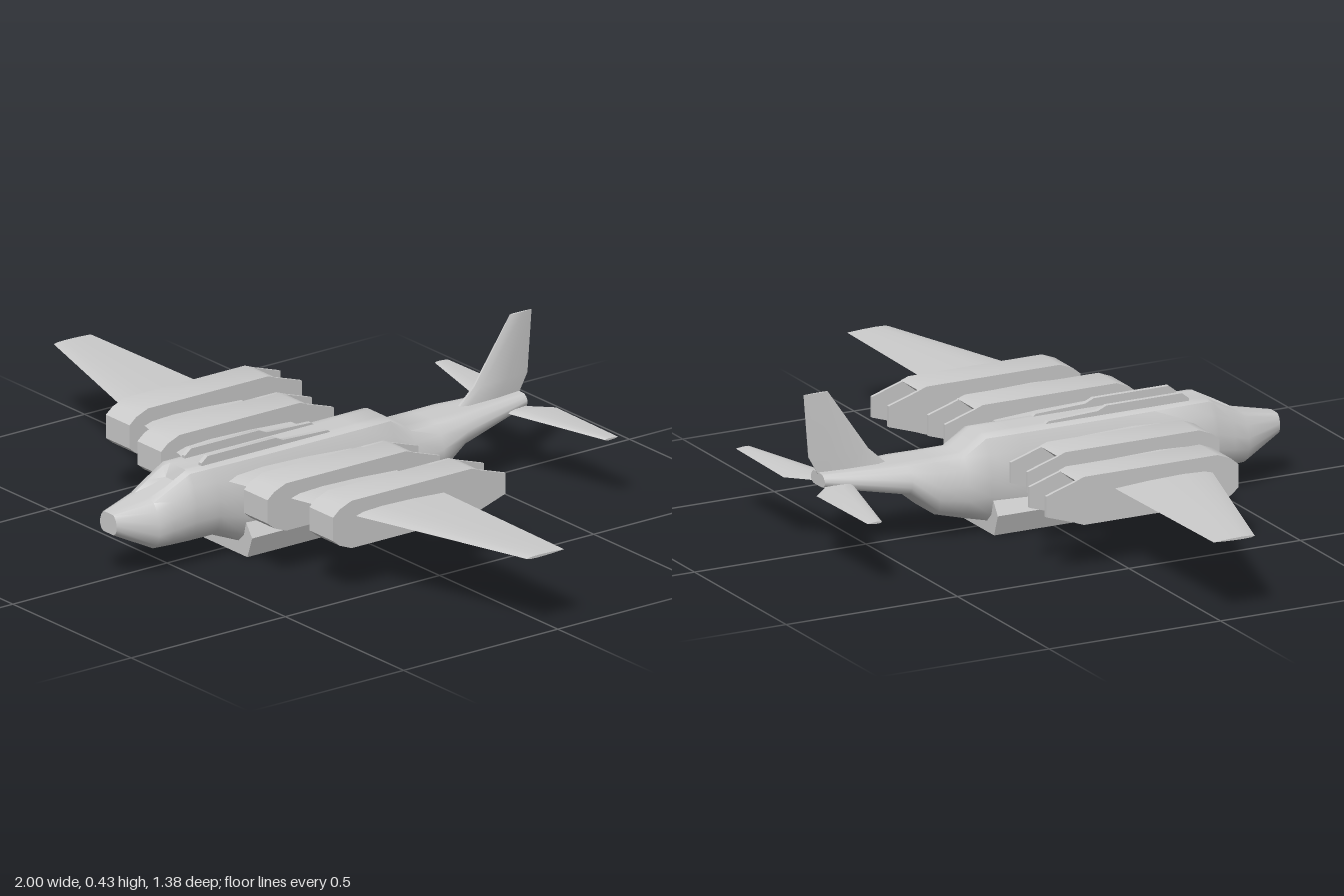
import * as THREE from 'three';
import { toCreasedNormals } from 'three/addons/utils/BufferGeometryUtils.js';

const material = new THREE.MeshStandardMaterial({ color: 0xcccccc, side: THREE.DoubleSide });

// Skins a list of closed rings (equal point counts) and caps both ends.
function loft(name, rings, crease = 0.6) {
  const n = rings[0].length, pos = rings.flat(2), idx = [];
  for (let r = 0; r < rings.length - 1; r++) {
    for (let i = 0; i < n; i++) {
      const a = r * n + i, b = r * n + (i + 1) % n;
      idx.push(a, b, b + n, a, b + n, a + n);
    }
  }
  [0, rings.length - 1].forEach((r, end) => {
    const c = pos.length / 3, ring = rings[r];
    for (let k = 0; k < 3; k++) pos.push(ring.reduce((s, p) => s + p[k], 0) / n);
    for (let i = 0; i < n; i++) {
      const a = r * n + i, b = r * n + (i + 1) % n;
      idx.push(c, end ? a : b, end ? b : a);
    }
  });
  // Turn the faces outward if the signed volume is negative.
  const v = i => new THREE.Vector3().fromArray(pos, i * 3);
  let volume = 0;
  for (let i = 0; i < idx.length; i += 3) volume += v(idx[i]).dot(v(idx[i + 1]).cross(v(idx[i + 2])));
  if (volume < 0) idx.reverse();
  const g = new THREE.BufferGeometry();
  g.setAttribute('position', new THREE.Float32BufferAttribute(pos, 3));
  g.setIndex(idx);
  const mesh = new THREE.Mesh(toCreasedNormals(g, crease), material);
  mesh.name = name;
  return mesh;
}

// Side outline of [z, y] points given a thickness in x.
function slab(name, outline, x, width) {
  return loft(name, [x - width / 2, x + width / 2].map(px => outline.map(([z, y]) => [px, y, z])), 0.5);
}

// Thin aerofoil surface; stations are [x, leading z, trailing z, thickness].
function foil(name, side, y, stations) {
  return loft(name, stations.map(([x, lead, trail, t]) =>
    [[0, 0], [0.08, 0.7], [0.3, 1], [0.65, 0.7], [1, 0], [0.65, -0.7], [0.3, -1], [0.08, -0.7]]
      .map(([f, h]) => [side * x, y + h * t / 2, lead + (trail - lead) * f])), 0.7);
}

// Fuselage stations: z, bottom, top, half width, depth of windscreen recess
const stations = [
  [0.69, 0.13, 0.185, 0.035, 0],
  [0.58, 0.076, 0.206, 0.073, 0],
  [0.535, 0.075, 0.231, 0.08, 0.012],
  [0.485, 0.075, 0.257, 0.086, 0.027],
  [0.47, 0.075, 0.265, 0.088, 0],
  [0.395, 0.075, 0.265, 0.09, 0],
  [0.31, 0.04, 0.265, 0.09, 0],
  [0.2, 0.015, 0.265, 0.09, 0],
  [-0.08, 0.015, 0.265, 0.09, 0],
  [-0.18, 0.036, 0.265, 0.09, 0],
  [-0.245, 0.052, 0.222, 0.09, 0],
  [-0.33, 0.075, 0.221, 0.09, 0],
  [-0.41, 0.14, 0.221, 0.086, 0],
  [-0.64, 0.185, 0.22, 0.038, 0],
];
const halfSection = [[0.3, 1], [0.45, 1], [0.66, 0.97], [0.86, 0.8], [1, 0.55], [1, 0.32], [0.86, 0.1], [0.6, 0]];

function fuselage() {
  return loft('fuselage', stations.map(([z, bottom, top, w, dip]) => {
    const half = halfSection.map(([fx, fy], i) =>
      [fx * w, bottom + (top - bottom) * fy - (i === 0 ? dip : 0), z]);
    return [...half, ...half.slice().reverse().map(([x, y, pz]) => [-x, y, pz])];
  }), 0.7);
}

// Nacelle: faceted pod with two cheek plates beyond an open exhaust
function nacelle(x, front) {
  const group = new THREE.Group();
  group.name = 'engineNacelle';
  const z = d => front - d;
  group.add(slab('nacelleBody', [
    [z(0), 0.168], [z(0), 0.232], [z(0.022), 0.25], [z(0.06), 0.265], [z(0.45), 0.265], [z(0.472), 0.257],
    [z(0.4), 0.2], [z(0.472), 0.143], [z(0.45), 0.135], [z(0.06), 0.135], [z(0.022), 0.15],
  ], x, 0.1));
  for (const s of [-1, 1]) {
    group.add(slab('exhaustCheek', [
      [z(0.38), 0.135], [z(0.38), 0.265], [z(0.445), 0.265], [z(0.56), 0.228], [z(0.56), 0.172], [z(0.445), 0.135],
    ], x + s * 0.0455, 0.009));
  }
  return group;
}

export function createModel() {
  const model = new THREE.Group();
  model.name = 'aircraft';
  model.add(fuselage());

  // Landing gear fairing under the belly
  const fairing = [[0.092, 0.005], [0.112, 0.062], [0.086, 0.1]];
  const fairingRing = [...fairing, ...fairing.slice().reverse().map(([x, y]) => [-x, y])];
  model.add(loft('gearFairing', [0.31, -0.175].map(z => fairingRing.map(([x, y]) => [x, y, z])), 0.3));

  for (const s of [-1, 1]) {
    // Wing and tailplane
    model.add(foil('wing', s, 0.22, [[0, 0.375, -0.04, 0.024], [0.08, 0.36, -0.038, 0.024],
      [0.48, 0.255, -0.03, 0.018], [1, 0.1, -0.02, 0.007]]));
    model.add(foil('tailplane', s, 0.189, [[0.01, -0.555, -0.63, 0.01], [0.04, -0.562, -0.642, 0.01],
      [0.09, -0.575, -0.692, 0.01], [0.36, -0.645, -0.687, 0.006]]));
    // Engines
    model.add(nacelle(s * 0.225, 0.385), nacelle(s * 0.43, 0.33));
    // Roof rail
    model.add(slab('roofRail', [[0.42, 0.262], [0.42, 0.272], [0.4, 0.288], [0.18, 0.288],
      [0.155, 0.277], [0.01, 0.271], [0, 0.262]], s * 0.035, 0.013));
  }

  // Tail fin: sections run upward, tapering to a thin tip
  const finLevels = [[0.215, -0.44, -0.64, 0.026], [0.265, -0.495, -0.668, 0.02], [0.435, -0.612, -0.682, 0.006]];
  model.add(loft('tailFin', finLevels.map(([y, lead, trail, t]) =>
    [[0, 0.3], [0.12, 1], [0.6, 0.8], [1, 0.1]].flatMap(([f, h]) => [[f, h]])
      .concat([[1, -0.1], [0.6, -0.8], [0.12, -1], [0, -0.3]])
      .map(([f, h]) => [h * t / 2, y, lead + (trail - lead) * f])), 0.7));

  return model;
}
